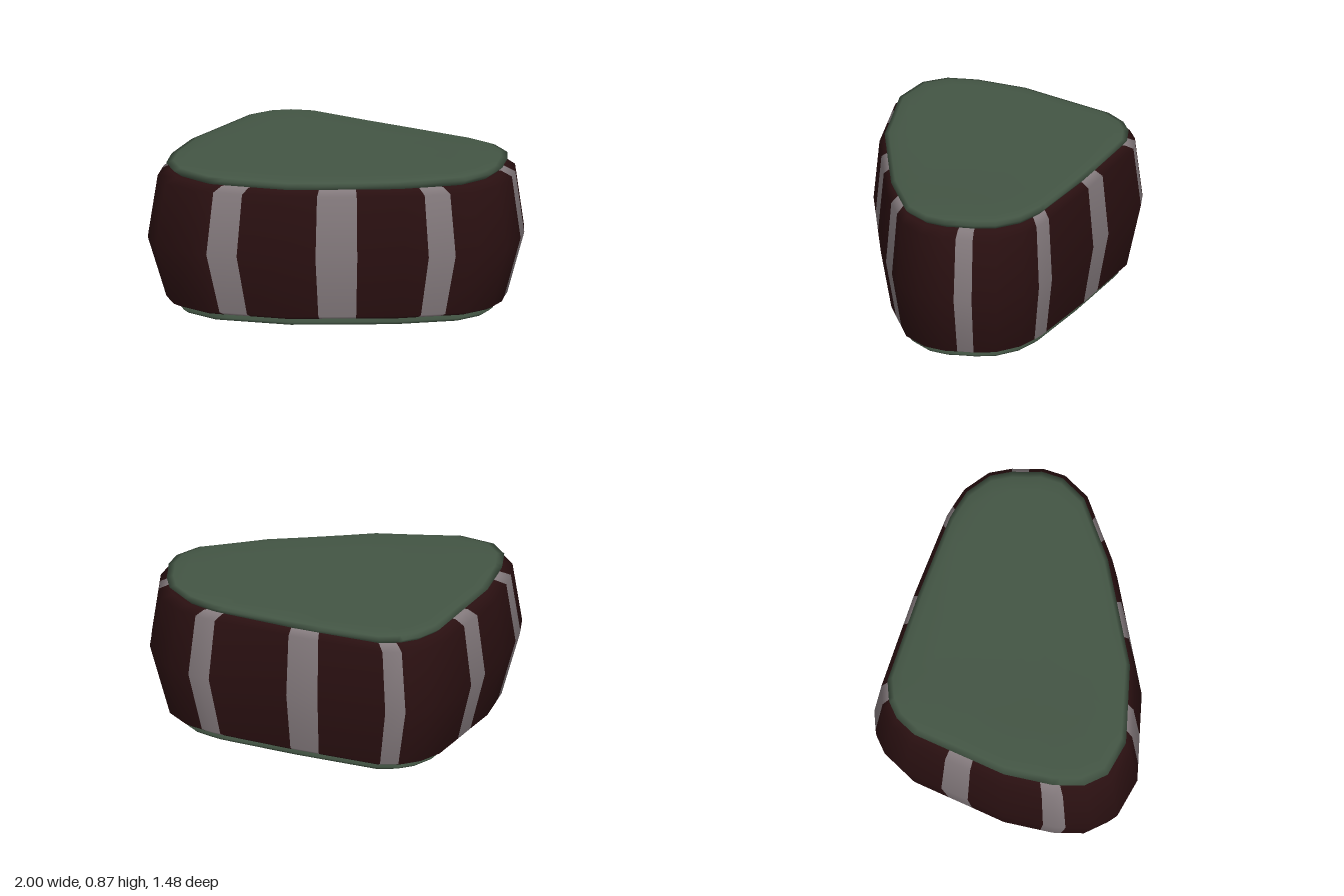
import * as THREE from 'three';

const wood = new THREE.MeshStandardMaterial({ color: 0x2a1011 });
wood.name = 'dark brown';
const stripe = new THREE.MeshStandardMaterial({ color: 0x857b7e });
stripe.name = 'grey stripe';
const felt = new THREE.MeshStandardMaterial({ color: 0x435544 });
felt.name = 'muted green';

// Rounded triangular outline [x, z, 1 where the next segment is a stripe]
const OUTLINE = [
  [-0.96, 0.02], [-0.99, 0.245, 1], [-1, 0.32, 1], [-0.997, 0.37], [-0.985, 0.51],
  [-0.9, 0.645], [-0.685, 0.735], [-0.59, 0.731, 1], [-0.42, 0.722], [-0.18, 0.71],
  [0.01, 0.653, 1], [0.23, 0.587], [0.485, 0.51], [0.6, 0.454, 1], [0.735, 0.388],
  [0.855, 0.33], [0.97, 0.19], [1, 0.06], [0.99, -0.02, 1], [0.983, -0.12],
  [0.945, -0.25], [0.83, -0.38], [0.72, -0.437, 1], [0.66, -0.465, 1], [0.6, -0.482],
  [0.15, -0.608, 1], [-0.03, -0.65], [-0.42, -0.74, 1], [-0.53, -0.722], [-0.56, -0.715],
  [-0.66, -0.66], [-0.755, -0.545], [-0.833, -0.33, 1], [-0.887, -0.18],
];

// Lofts scaled copies of the outline; each ring is [scale, y], listed bottom to top.
// bend lifts a ring with the square of x.
function loft(rings, bend = 0) {
  const n = OUTLINE.length, positions = [], plain = [], striped = [];
  for (const [s, y] of rings) {
    for (const [x, z] of OUTLINE) positions.push(x * s, y + bend * (x * s) ** 2, z * s);
  }
  for (let r = 0; r < rings.length - 1; r++) {
    for (let i = 0; i < n; i++) {
      const j = (i + 1) % n, a = r * n + i, b = r * n + j;
      const list = OUTLINE[i][2] ? striped : plain;
      if (rings[r][0] > 0) list.push(a, b, b + n);
      else list.push(a, b + n, a + n);
      if (rings[r][0] > 0 && rings[r + 1][0] > 0) list.push(a, b + n, a + n);
    }
  }
  const geometry = new THREE.BufferGeometry();
  geometry.setAttribute('position', new THREE.Float32BufferAttribute(positions, 3));
  geometry.setIndex([...plain, ...striped]);
  geometry.addGroup(0, plain.length, 0);
  geometry.addGroup(plain.length, striped.length, 1);
  geometry.computeVertexNormals();
  return geometry;
}

export function createModel() {
  const group = new THREE.Group();
  const add = (name, geometry, materials) => {
    const mesh = new THREE.Mesh(geometry, materials);
    mesh.name = name;
    group.add(mesh);
  };

  // Bulging side wall with vertical stripes
  add('stripedBody', loft([
    [0.76, 0.06], [0.87, 0.062], [0.905, 0.08], [1, 0.43], [0.95, 0.78], [0.89, 0.808], [0.78, 0.812],
  ]), [wood, stripe]);

  // Top pad, gently dished from end to end
  add('topPad', loft([
    [0, 0.79], [0.8, 0.79], [0.865, 0.797], [0.907, 0.83], [0.87, 0.843], [0.8, 0.853],
    [0.6, 0.855], [0.4, 0.855], [0.2, 0.855], [0, 0.855],
  ], 0.025), [felt, felt]);

  // Bottom pad
  add('bottomPad', loft([
    [0, 0], [0.4, 0.001], [0.78, 0.01], [0.83, 0.02], [0.85, 0.037], [0.82, 0.07], [0, 0.07],
  ]), [felt, felt]);

  return group;
}
